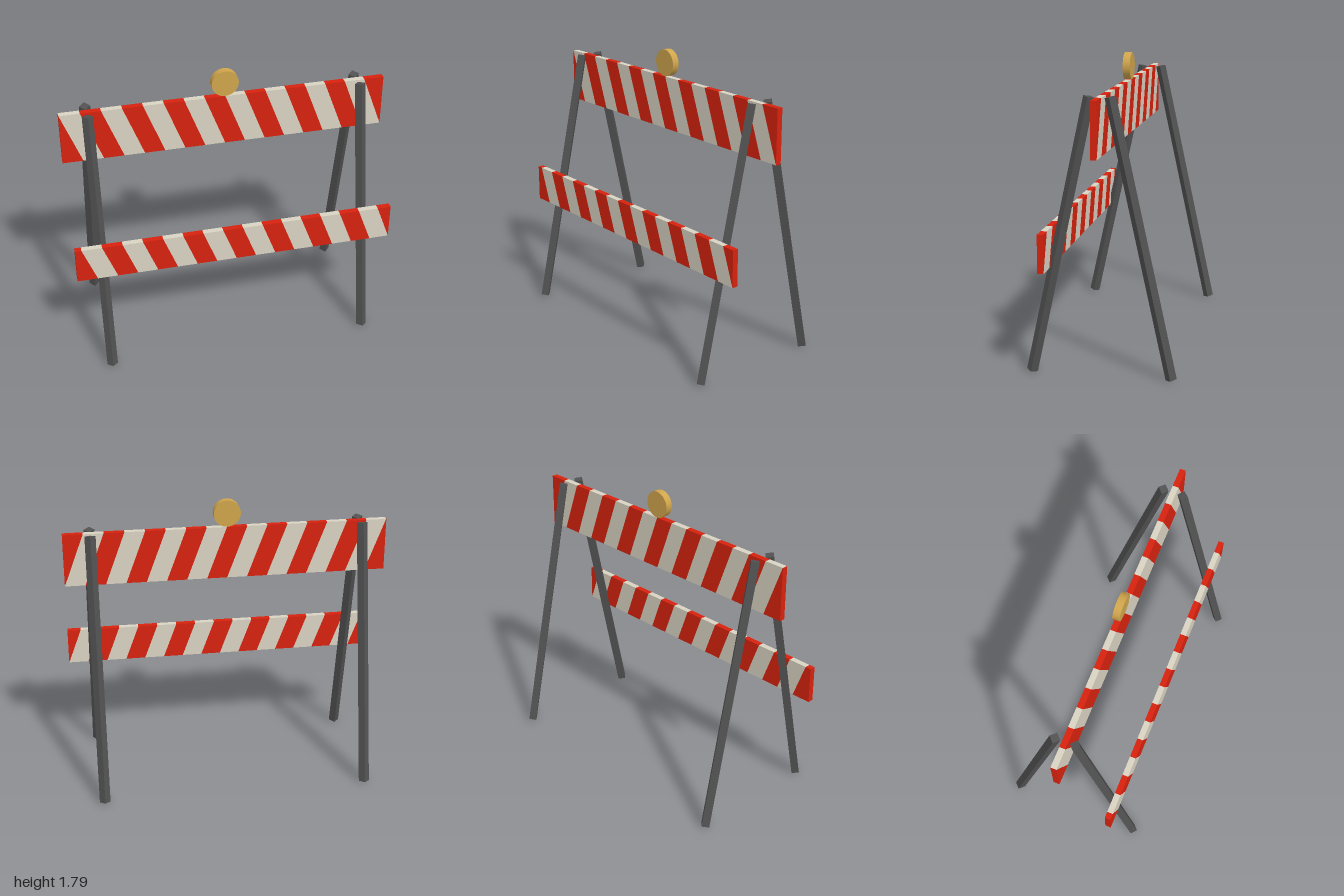
import * as THREE from 'three';

const LENGTH = 1.97, THICK = 0.036, BAND = LENGTH / 16, SLOPE = 0.375;

function material(name, color) {
  const m = new THREE.MeshStandardMaterial({ color });
  m.name = name;
  return m;
}

// Cut a polygon by a vertical line, keeping the side where sign * (x - limit) <= 0
function clip(points, limit, sign) {
  const out = [];
  points.forEach((p, i) => {
    const q = points[(i + 1) % points.length];
    const dp = sign * (p.x - limit), dq = sign * (q.x - limit);
    if (dp <= 0) out.push(p);
    if (dp * dq < 0) out.push(p.clone().lerp(q, dp / (dp - dq)));
  });
  return out;
}

// Plank made of slanted solid bands in two alternating colours
function stripedBoard(name, height, red, white) {
  const board = new THREE.Group();
  board.name = name;
  const half = LENGTH / 2, shift = height * SLOPE;
  const shapes = [[], []];
  for (let i = 0; i < 18; i++) {
    const a = -half + i * BAND, b = a + BAND;
    let poly = [
      new THREE.Vector2(a, 0), new THREE.Vector2(b, 0),
      new THREE.Vector2(b - shift, height), new THREE.Vector2(a - shift, height),
    ];
    poly = clip(clip(poly, half, 1), -half, -1);
    const area = poly.length > 2 ? Math.abs(THREE.ShapeUtils.area(poly)) : 0;
    if (area > 1e-5) shapes[i % 2].push(new THREE.Shape(poly));
  }
  [red, white].forEach((mat, i) => {
    const geo = new THREE.ExtrudeGeometry(shapes[i], { depth: THICK, bevelEnabled: false });
    geo.translate(0, 0, -THICK / 2);
    const mesh = new THREE.Mesh(geo, mat);
    mesh.name = i ? 'whiteStripes' : 'redStripes';
    board.add(mesh);
  });
  return board;
}

export function createModel() {
  const red = material('stripe red', 0xd8220e);
  const white = material('stripe white', 0xd9d3c2);
  const grey = material('leg grey', 0x515151);
  const amber = material('lamp amber', 0xd0a54c);

  const model = new THREE.Group();
  model.name = 'barricade';
  const frame = new THREE.Group();
  frame.name = 'frame';
  frame.rotation.y = 0.119;
  frame.position.x = -0.02;
  model.add(frame);

  // Striped boards
  const upper = stripedBoard('upperBoard', 0.325, red, white);
  upper.position.y = 1.295;
  const lower = stripedBoard('lowerBoard', 0.225, red, white);
  lower.position.set(0, 0.64, 0.307);
  frame.add(upper, lower);

  // Four splayed square legs, set corner-on
  const topZ = 0.06, footZ = 0.41, footY = 0.007, topY = 1.62;
  const run = footZ - topZ, rise = topY - footY;
  const legGeo = new THREE.CylinderGeometry(0.033, 0.033, Math.hypot(run, rise), 4).toNonIndexed();
  legGeo.computeVertexNormals();
  for (const sx of [-1, 1]) {
    for (const sz of [-1, 1]) {
      const leg = new THREE.Mesh(legGeo, grey);
      leg.name = (sz > 0 ? 'front' : 'back') + (sx > 0 ? 'Left' : 'Right') + 'Leg';
      leg.position.set(sx * 0.822, (topY + footY) / 2, sz * (topZ + footZ) / 2);
      leg.rotation.x = -sz * Math.atan2(run, rise);
      frame.add(leg);
    }
  }

  // Round warning lamp on the top edge
  const lamp = new THREE.Mesh(new THREE.CylinderGeometry(0.082, 0.082, 0.044, 32), amber);
  lamp.name = 'warningLamp';
  lamp.rotation.x = Math.PI / 2;
  lamp.position.y = 1.705;
  frame.add(lamp);

  return model;
}
